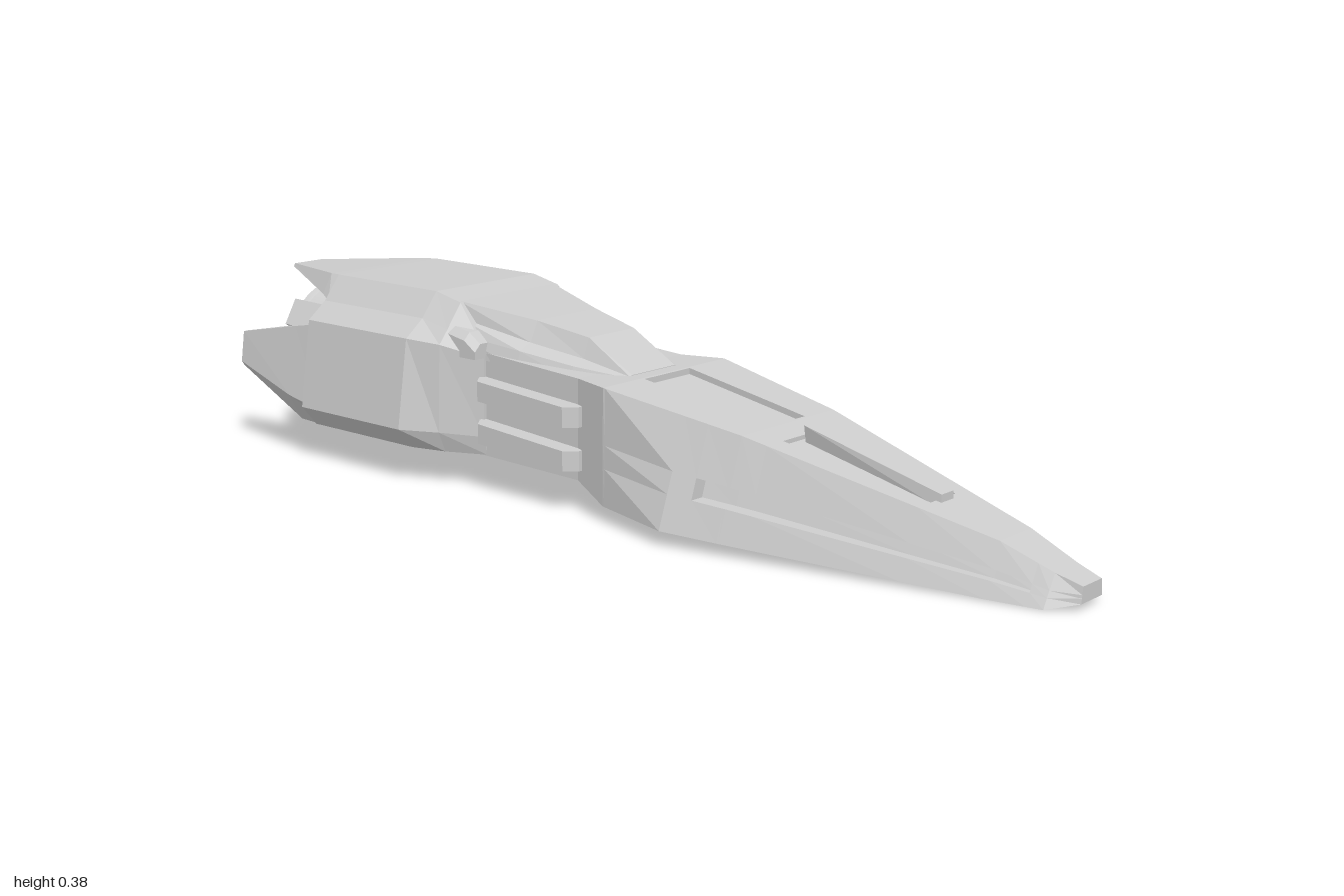
import * as THREE from 'three';

const mat = new THREE.MeshStandardMaterial({ color: 0xcccccc, flatShading: true });
const smooth = new THREE.MeshStandardMaterial({ color: 0xcccccc, side: THREE.DoubleSide });

// Skin a list of rings (front to back, each clockwise seen from the front), capped at both ends
function loft(name, rings) {
  const pos = [];
  const tri = (a, b, c) => pos.push(...a, ...b, ...c);
  const n = rings[0].length;
  for (let i = 0; i < rings.length - 1; i++) {
    for (let j = 0; j < n; j++) {
      const k = (j + 1) % n;
      const [a, b, c, d] = [rings[i][j], rings[i][k], rings[i + 1][k], rings[i + 1][j]];
      tri(a, b, c);
      tri(a, c, d);
    }
  }
  const cap = (r, front) => {
    const mid = [0, 1, 2].map(q => r.reduce((s, p) => s + p[q], 0) / n);
    r.forEach((p, j) => front ? tri(mid, r[(j + 1) % n], p) : tri(mid, p, r[(j + 1) % n]));
  };
  cap(rings[0], true);
  cap(rings[rings.length - 1], false);
  const g = new THREE.BufferGeometry();
  g.setAttribute('position', new THREE.Float32BufferAttribute(pos, 3));
  g.computeVertexNormals();
  const m = new THREE.Mesh(g, mat);
  m.name = name;
  return m;
}

// Full ring from its +x half, listed top to bottom
const sym = (z, half) => [
  ...half.map(([x, y]) => [x, y, z]),
  ...half.slice().reverse().map(([x, y]) => [-x, y, z]),
];
const ring = (z, pts) => pts.map(([x, y]) => [x, y, z]);
const mirrorRing = r => r.map(([x, y, z]) => [-x, y, z]).reverse();

// Hull outline: z, bottom y, bottom half width, top y, top half width
const HULL = [
  [1, 0.015, 0.034, 0.045, 0.03],
  [0.95, 0.003, 0.07, 0.06, 0.037],
  [0.85, 0.005, 0.092, 0.098, 0.05],
  [0.36, 0.027, 0.2, 0.215, 0.137],
  [0.24, 0.033, 0.225, 0.235, 0.153],
  [0.06, 0.036, 0.18, 0.265, 0.178],
  [-0.03, 0.065, 0.152, 0.265, 0.15],
  [-0.4, 0.073, 0.152, 0.287, 0.15],
];
function hullAt(z) {
  let i = 0;
  while (i < HULL.length - 2 && z < HULL[i + 1][0]) i++;
  const [a, b] = [HULL[i], HULL[i + 1]];
  const t = (a[0] - z) / (a[0] - b[0]);
  return a.map((v, q) => v + (b[q] - v) * t);
}
// Hull ring with optional side slot (depth g) and top recess (half width h, depth d)
function hullRing([z, g, h, d]) {
  const [, yb, wb, yt, wt] = hullAt(z);
  const side = f => [wt + (wb - wt) * f, yt + (yb - yt) * f];
  const [u, l] = [side(0.48), side(0.68)];
  return sym(z, [[h, yt - d], [h, yt], [wt, yt], u, [u[0] - g, u[1]], [l[0] - g, l[1]], l, [wb, yb]]);
}

export function createModel() {
  const ship = new THREE.Group();
  ship.name = 'spaceship';

  // Forward hull and waist, with side slots, dorsal recess and hatch
  ship.add(loft('hull', [
    [1, 0, 0.015, 0], [0.95, 0, 0.02, 0], [0.92, 0, 0.022, 0], [0.92, 0.012, 0.022, 0],
    [0.85, 0.016, 0.03, 0], [0.7, 0.02, 0.04, 0], [0.7, 0.02, 0.04, 0.008],
    [0.41, 0.03, 0.08, 0.008], [0.41, 0.03, 0.08, 0], [0.36, 0.03, 0.068, 0],
    [0.355, 0.03, 0.055, 0], [0.355, 0.03, 0.055, 0.012], [0.29, 0.03, 0.058, 0.012],
    [0.29, 0, 0.058, 0.012], [0.24, 0, 0.06, 0.012], [0.065, 0, 0.066, 0.012],
    [0.065, 0, 0.066, 0], [0.06, 0, 0.066, 0], [-0.03, 0, 0.066, 0], [-0.4, 0, 0.066, 0],
  ].map(hullRing)));

  // Raised wedge on the nose
  ship.add(loft('noseWedge', [
    sym(0.71, [[0.018, 0.146], [0.02, 0.12]]),
    sym(0.42, [[0.032, 0.225], [0.024, 0.18]]),
  ]));

  // Canopy with lower shoulders
  ship.add(loft('canopy', [
    sym(0.03, [[0.062, 0.266], [0.07, 0.264], [0.075, 0.262], [0.08, 0.25]]),
    sym(-0.08, [[0.065, 0.325], [0.08, 0.285], [0.11, 0.275], [0.12, 0.25]]),
    sym(-0.2, [[0.085, 0.346], [0.105, 0.305], [0.135, 0.292], [0.145, 0.26]]),
    sym(-0.37, [[0.135, 0.372], [0.14, 0.34], [0.155, 0.31], [0.158, 0.27]]),
  ]));

  // Engine housing, hollow at the back
  const body = [[0.14, 0.385], [0.18, 0.335], [0.225, 0.3], [0.252, 0.118], [0.215, 0.075]];
  const inner = body.map(([x, y]) => [x * 0.78, 0.215 + (y - 0.215) * 0.78]);
  ship.add(loft('engineHousing', [
    sym(-0.28, [[0.12, 0.28], [0.15, 0.28], [0.156, 0.27], [0.158, 0.11], [0.15, 0.072]]),
    sym(-0.36, [[0.14, 0.37], [0.178, 0.32], [0.2, 0.293], [0.207, 0.115], [0.19, 0.073]]),
    sym(-0.43, body), sym(-0.73, body), sym(-0.73, inner), sym(-0.6, inner),
  ]));

  // Tail fin over the nozzle
  ship.add(loft('topFin', [
    sym(-0.72, [[0.14, 0.385], [0.18, 0.335], [0.15, 0.325]]),
    sym(-0.76, [[0.135, 0.384], [0.16, 0.343], [0.14, 0.33]]),
    sym(-1, [[0.038, 0.367], [0.042, 0.361], [0.038, 0.358]]),
  ]));

  // Paired side parts
  const sideFin = [
    ring(-0.67, [[0.18, 0.325], [0.225, 0.3], [0.252, 0.118], [0.215, 0.075], [0.175, 0.1]]),
    ring(-0.78, [[0.185, 0.28], [0.222, 0.28], [0.245, 0.135], [0.212, 0.078], [0.185, 0.1]]),
    ring(-0.96, [[0.207, 0.245], [0.218, 0.245], [0.227, 0.18], [0.22, 0.17], [0.208, 0.17]]),
  ];
  const bar = y => [[-0.015, 0.165], [-0.035, 0.19], [-0.265, 0.19], [-0.285, 0.165]].map(([z, x]) => {
    const c = y - (z + 0.15) * 0.07;
    return ring(z, [[0.14, c + 0.02], [x, c + 0.02], [x, c - 0.02], [0.14, c - 0.02]]);
  });
  const shoulder = [[-0.28, 0.3], [-0.31, 0.32], [-0.39, 0.335]].map(([z, y]) =>
    ring(z, [[0.14, y], [0.165, y], [0.18, y - 0.015], [0.18, 0.27], [0.14, 0.27]]));
  for (const [label, flip] of [['left', r => r], ['right', mirrorRing]]) {
    ship.add(loft(label + 'SideFin', sideFin.map(flip)));
    ship.add(loft(label + 'UpperBar', bar(0.203).map(flip)));
    ship.add(loft(label + 'LowerBar', bar(0.117).map(flip)));
    ship.add(loft(label + 'ShoulderBlock', shoulder.map(flip)));
  }

  // Engine nozzle with a concave bowl, ringed by blocks
  const engine = new THREE.Group();
  engine.name = 'engine';
  engine.position.set(0, 0.21, 0);
  const profile = [[0.085, 0.58], [0.09, 0.78], [0.122, 0.92]].map(p => new THREE.Vector2(...p));
  for (let i = 0; i <= 8; i++) {
    const a = (i / 8) * Math.PI / 2;
    profile.push(new THREE.Vector2(0.122 * Math.cos(a), 0.92 - 0.07 * Math.sin(a)));
  }
  const nozzle = new THREE.Mesh(new THREE.LatheGeometry(profile, 32).rotateX(-Math.PI / 2), smooth);
  nozzle.name = 'nozzle';
  engine.add(nozzle);
  for (let i = 0; i < 6; i++) {
    const holder = new THREE.Group();
    holder.name = 'nozzleBlock';
    holder.rotation.z = i * Math.PI / 3;
    const block = new THREE.Mesh(new THREE.BoxGeometry(0.06, 0.022, 0.24), mat);
    block.position.set(0, 0.118, -0.8);
    block.rotation.x = 0.1;
    holder.add(block);
    engine.add(holder);
  }
  const strut = new THREE.Mesh(new THREE.BoxGeometry(0.4, 0.05, 0.07), mat);
  strut.name = 'nozzleStrut';
  strut.position.z = -0.825;
  engine.add(strut);
  ship.add(engine);

  return ship;
}
